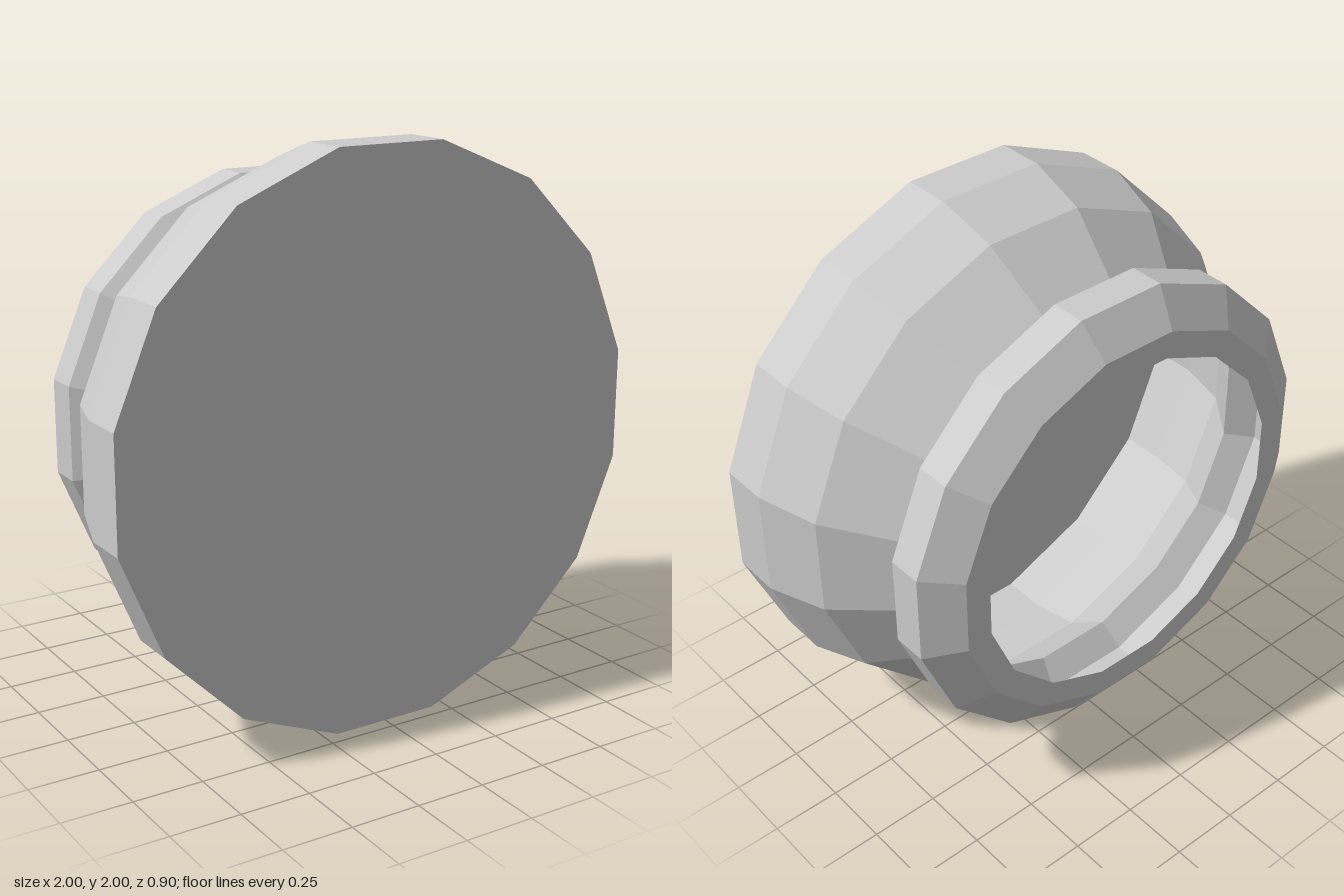
import * as THREE from 'three';

const SIDES = 16;
const TO_CORNER = 1 / Math.cos(Math.PI / SIDES); // flat-to-flat radius -> corner radius

export function createModel() {
  const group = new THREE.Group();
  const grey = new THREE.MeshStandardMaterial({ color: 0xcccccc, flatShading: true, side: THREE.DoubleSide });
  grey.name = 'plain grey';

  const add = (name, geometry) => {
    const mesh = new THREE.Mesh(geometry, grey);
    mesh.name = name;
    mesh.position.y = 1;
    group.add(mesh);
  };

  // Faceted ring turned about the z axis; profile is [radius, z] from back to front
  const ring = (profile) => {
    const points = profile.map(([r, z]) => new THREE.Vector2(r * TO_CORNER, z));
    return new THREE.LatheGeometry(points, SIDES, Math.PI / SIDES).rotateX(Math.PI / 2);
  };

  // Flat lip around the rear opening
  add('rearLip', ring([[0.62, -0.45], [0.715, -0.45]]));

  // Bevelled collar
  add('collar', ring([[0.715, -0.45], [0.84, -0.36], [0.84, -0.235], [0.75, -0.16]]));

  // Hollow bowl widening to the front
  add('bowl', ring([[0.75, -0.16], [0.93, 0.055], [1, 0.275], [1, 0.45]]));

  // Flat front disc, also the floor of the cavity
  add('frontDisc', new THREE.CircleGeometry(TO_CORNER, SIDES, Math.PI / SIDES).translate(0, 0, 0.45));

  return group;
}
